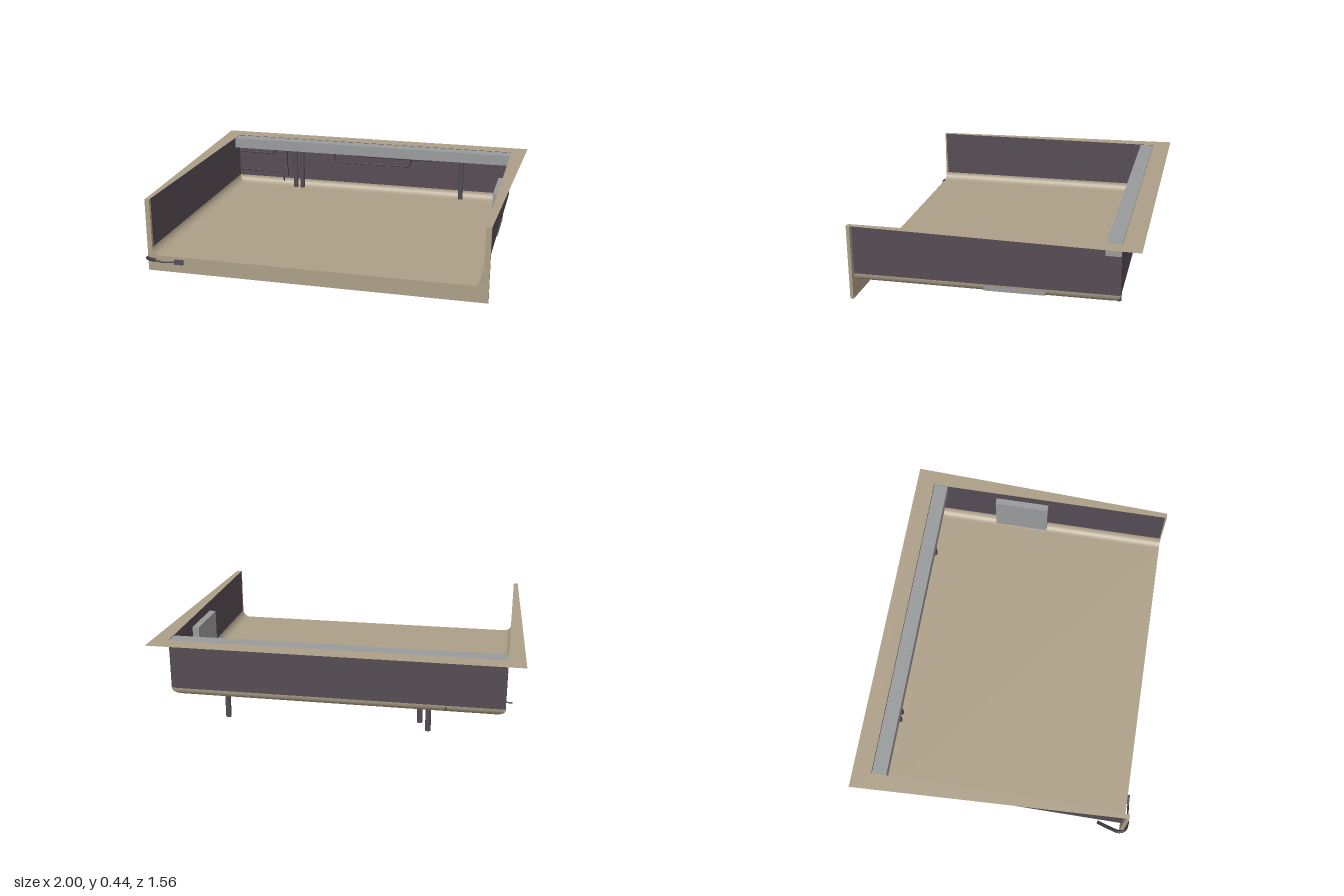
import * as THREE from 'three';

const mat = (name, color, side = THREE.FrontSide) => {
  const m = new THREE.MeshStandardMaterial({ color, side });
  m.name = name;
  return m;
};

const X = 0.905, BACK = -0.675, FRONT = 0.74;   // inside of the tray
const FLOOR = 0.12, TOP = 0.44, R = 0.045;      // heights and fillet radius

// Open U-shaped outline of the tray, inset by d, with back corners rounded by d
function outline(d) {
  const pts = [[X - d, FRONT]];
  for (let i = 0; i <= 6; i++) {
    const a = (i / 6) * Math.PI / 2;
    pts.push([X - 2 * d + d * Math.cos(a), BACK + 2 * d - d * Math.sin(a)]);
  }
  return pts.concat(pts.slice().reverse().map(([x, z]) => [-x, z]));
}

// Curved strip joining the walls to the floor
function filletGeometry() {
  const pos = [], idx = [], steps = 8, n = outline(0).length;
  for (let j = 0; j <= steps; j++) {
    const a = (j / steps) * Math.PI / 2;
    const y = FLOOR + R - R * Math.sin(a);
    for (const [x, z] of outline(R * (1 - Math.cos(a)))) pos.push(x, y, z);
  }
  for (let j = 0; j < steps; j++) {
    for (let i = 0; i < n - 1; i++) {
      const a = j * n + i, b = a + 1, c = a + n, d = c + 1;
      idx.push(a, b, c, b, d, c);
    }
  }
  const g = new THREE.BufferGeometry();
  g.setAttribute('position', new THREE.Float32BufferAttribute(pos, 3));
  g.setIndex(idx);
  g.computeVertexNormals();
  return g;
}

// Horizontal flat sheet from [x, z] points
function sheet(points, y) {
  const shape = new THREE.Shape(points.map(([x, z]) => new THREE.Vector2(x, -z)));
  return new THREE.ShapeGeometry(shape).rotateX(-Math.PI / 2).translate(0, y, 0);
}

export function createModel() {
  const group = new THREE.Group();
  const tan = mat('tan panel', 0xac9f88, THREE.DoubleSide);
  const dark = mat('dark wall', 0x554b54, THREE.DoubleSide);
  const grey = mat('grey metal', 0x999a9b);
  const black = mat('dark cable', 0x3c363c);

  const add = (name, geometry, material) => {
    const m = new THREE.Mesh(geometry, material);
    m.name = name;
    group.add(m);
    return m;
  };
  const box = (name, x0, x1, y0, y1, z0, z1, material) =>
    add(name, new THREE.BoxGeometry(x1 - x0, y1 - y0, z1 - z0)
      .translate((x0 + x1) / 2, (y0 + y1) / 2, (z0 + z1) / 2), material);
  const tube = (name, points, radius, material, tension = 0.5) => {
    const curve = new THREE.CatmullRomCurve3(
      points.map(p => new THREE.Vector3(...p)), false, 'catmullrom', tension);
    return add(name, new THREE.TubeGeometry(curve, 48, radius, 8), material);
  };

  // Tray floor, fillet and walls
  add('floor', sheet(outline(R), FLOOR), tan);
  add('floorFillet', filletGeometry(), tan);
  const wallH = TOP - FLOOR - R, wallY = (TOP + FLOOR + R) / 2;
  for (const s of [1, -1]) {
    add(s > 0 ? 'leftWall' : 'rightWall',
      new THREE.PlaneGeometry(FRONT - BACK, wallH).rotateY(s * Math.PI / 2)
        .translate(s * X, wallY, (FRONT + BACK) / 2), dark);
  }
  add('backWall', new THREE.PlaneGeometry(2 * X, wallH).translate(0, wallY, BACK), dark);

  // Tapered rim around the top
  add('rim', sheet([
    [-0.93, FRONT], [-1, -0.78], [1, -0.78], [0.935, FRONT],
    [X, FRONT], [X, BACK], [-X, BACK], [-X, FRONT],
  ], TOP), tan);

  // Front panel with the tray opening cut out
  const s = new THREE.Shape();
  s.moveTo(-0.932, 0.03);
  s.lineTo(0.934, 0.03);
  s.lineTo(0.934, TOP);
  s.lineTo(X, TOP);
  s.lineTo(X, FLOOR + R);
  s.absarc(X - R, FLOOR + R, R, 0, -Math.PI / 2, true);
  s.lineTo(-X + R, FLOOR);
  s.absarc(-X + R, FLOOR + R, R, -Math.PI / 2, -Math.PI, true);
  s.lineTo(-X, TOP);
  s.lineTo(-0.932, TOP);
  add('frontPanel', new THREE.ExtrudeGeometry(s, { depth: 0.018, bevelEnabled: false, curveSegments: 8 })
    .translate(0, 0, 0.73), tan);

  // Metal beam along the back and box on the left wall
  box('backBeam', -0.907, 0.907, 0.375, 0.4385, -0.673, -0.592, grey);
  box('controlBox', 0.866, 0.904, 0.13, 0.385, -0.29, 0.03, grey);

  // Pipes passing through the floor
  for (const [x, y0] of [[-0.5, 0], [-0.455, 0.045], [0.6, 0]]) {
    add('pipe', new THREE.CylinderGeometry(0.015, 0.015, 0.4 - y0, 16)
      .translate(x, (0.4 + y0) / 2, -0.635), dark);
  }

  // Wires on the back wall
  const wz = -0.671;
  for (const [x0, x1, y] of [[-0.24, 0.265, 0.3], [-0.1, 0.41, 0.35]]) {
    const c = 0.02;
    tube('wire', [[x0, 0.39, wz], [x0, y + c, wz], [x0 + c, y, wz],
      [x1 - c, y, wz], [x1, y + c, wz], [x1, 0.39, wz]], 0.004, black, 0.1);
  }
  tube('wire', [[-0.9, 0.33, wz], [-0.67, 0.33, wz], [-0.65, 0.35, wz], [-0.65, 0.39, wz]], 0.004, black, 0.1);
  tube('wire', [[-0.93, 0.205, wz], [-0.6, 0.205, wz]], 0.004, black);
  tube('wire', [[-0.57, 0.39, wz], [-0.57, 0.24, wz]], 0.004, black);
  tube('wire', [[-0.595, 0.19, wz], [-0.595, 0.14, wz]], 0.004, black);
  box('socket', -0.6, -0.56, 0.18, 0.245, -0.673, -0.65, dark);

  // Power cable hooked around the front corner, with plug
  tube('cable', [[-0.9, 0.05, 0.6], [-0.93, 0.078, 0.68], [-0.942, 0.093, 0.725],
    [-0.925, 0.1, 0.758], [-0.875, 0.098, 0.768]], 0.01, black);
  tube('thinCable', [[-0.88, 0.098, 0.767], [-0.83, 0.09, 0.763], [-0.77, 0.093, 0.758]], 0.005, black);
  box('plug', -0.775, -0.725, 0.08, 0.106, 0.748, 0.762, dark);

  return group;
}
